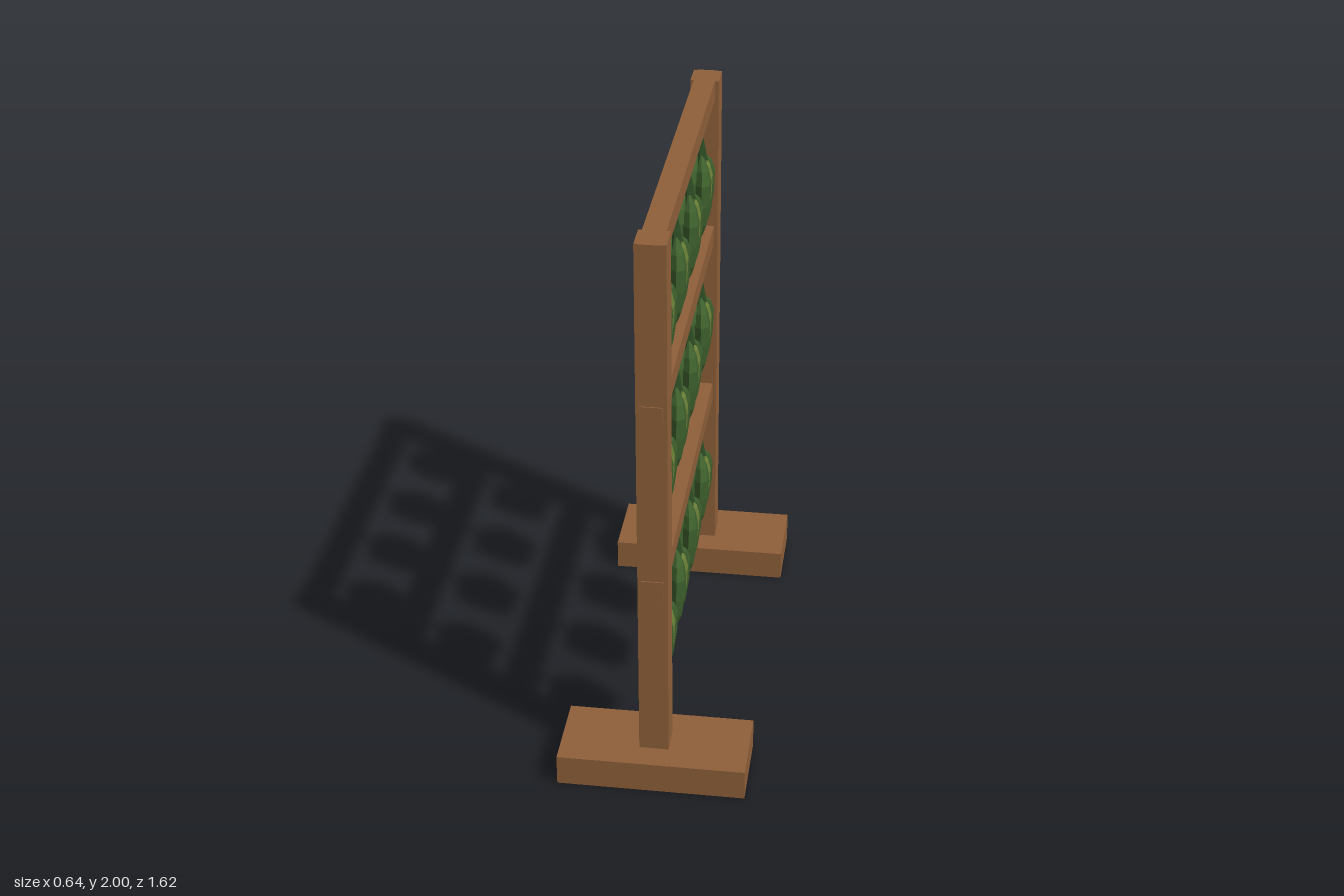
import * as THREE from 'three';

const mat = (name, color, flatShading = false) => {
  const m = new THREE.MeshStandardMaterial({ color, flatShading });
  m.name = name;
  return m;
};

export function createModel() {
  const wood = mat('wood', 0x8f603a);
  const twine = mat('twine', 0x8a6840);
  const darkGreen = mat('darkGreen', 0x2c4a24, true);
  const leafGreen = mat('leafGreen', 0x3d5f2c, true);
  const lightGreen = mat('lightGreen', 0x6b7f36, true);

  const root = new THREE.Group();
  root.name = 'dryingRack';

  const add = (parent, name, geometry, material, x = 0, y = 0, z = 0) => {
    const mesh = new THREE.Mesh(geometry, material);
    mesh.name = name;
    mesh.position.set(x, y, z);
    parent.add(mesh);
    return mesh;
  };

  // Feet and posts at both ends
  for (const s of [1, -1]) {
    add(root, 'foot', new THREE.BoxGeometry(0.64, 0.11, 0.285), wood, 0, 0.055, s * 0.665);
    add(root, 'post', new THREE.BoxGeometry(0.1, 1.9, 0.1), wood, 0, 1.05, s * 0.668);
  }

  // Leaf profile, top to bottom: height, size, spread along x, spread along z
  const rings = [
    [-0.15, 0.12, 0.3, 0.2],
    [-0.195, 0.72, 0.85, 0.8],
    [-0.24, 1.0, 1.0, 1.0],
    [-0.32, 1.0, 0.85, 1.0],
    [-0.395, 0.85, 0.5, 0.98],
    [-0.435, 0.5, 0.3, 0.85],
    [-0.46, 0.06, 0.2, 0.7],
  ];
  const leaf = (cx, cz, wx, wz, drop) => {
    const g = new THREE.CylinderGeometry(1, 1, 1, 6, rings.length - 1);
    const p = g.attributes.position;
    for (let i = 0; i < p.count; i++) {
      const row = Math.round((0.5 - p.getY(i)) * (rings.length - 1));
      const [y, size, kx, kz] = rings[row];
      p.setXYZ(i,
        cx * kx + p.getX(i) * wx * size,
        y + drop * row / (rings.length - 1),
        cz * kz + p.getZ(i) * wz * size);
    }
    g.computeVertexNormals();
    return g;
  };

  // Shared geometries: four large leaves around two pale inner ones
  const leaves = [
    [leaf(0.018, 0.055, 0.03, 0.042, 0.0), leafGreen],
    [leaf(0.018, -0.055, 0.03, 0.042, -0.005), leafGreen],
    [leaf(-0.033, 0.05, 0.038, 0.046, 0.02), leafGreen],
    [leaf(-0.033, -0.05, 0.038, 0.046, 0.03), leafGreen],
    [leaf(0.026, 0, 0.02, 0.03, 0.01), lightGreen],
    [leaf(-0.035, 0, 0.022, 0.03, 0.02), lightGreen],
  ];
  const stringGeo = new THREE.CylinderGeometry(0.01, 0.01, 0.13, 8);
  const neckGeo = new THREE.CylinderGeometry(0.012, 0.036, 0.13, 7);

  // Rails, each with a row of hanging bundles
  for (const top of [2.0, 1.445, 0.793]) {
    add(root, 'rail', new THREE.BoxGeometry(0.075, 0.072, 1.444), wood, -0.001, top - 0.036, 0);
    for (const z of [0.502, 0.168, -0.166, -0.5]) {
      const bundle = new THREE.Group();
      bundle.name = 'leafBundle';
      bundle.position.set(0, top - 0.072, z);
      add(bundle, 'string', stringGeo, twine, 0, -0.06, 0);
      add(bundle, 'neck', neckGeo, darkGreen, 0, -0.16, 0);
      for (const [geo, material] of leaves) add(bundle, 'leaf', geo, material);
      root.add(bundle);
    }
  }
  return root;
}
